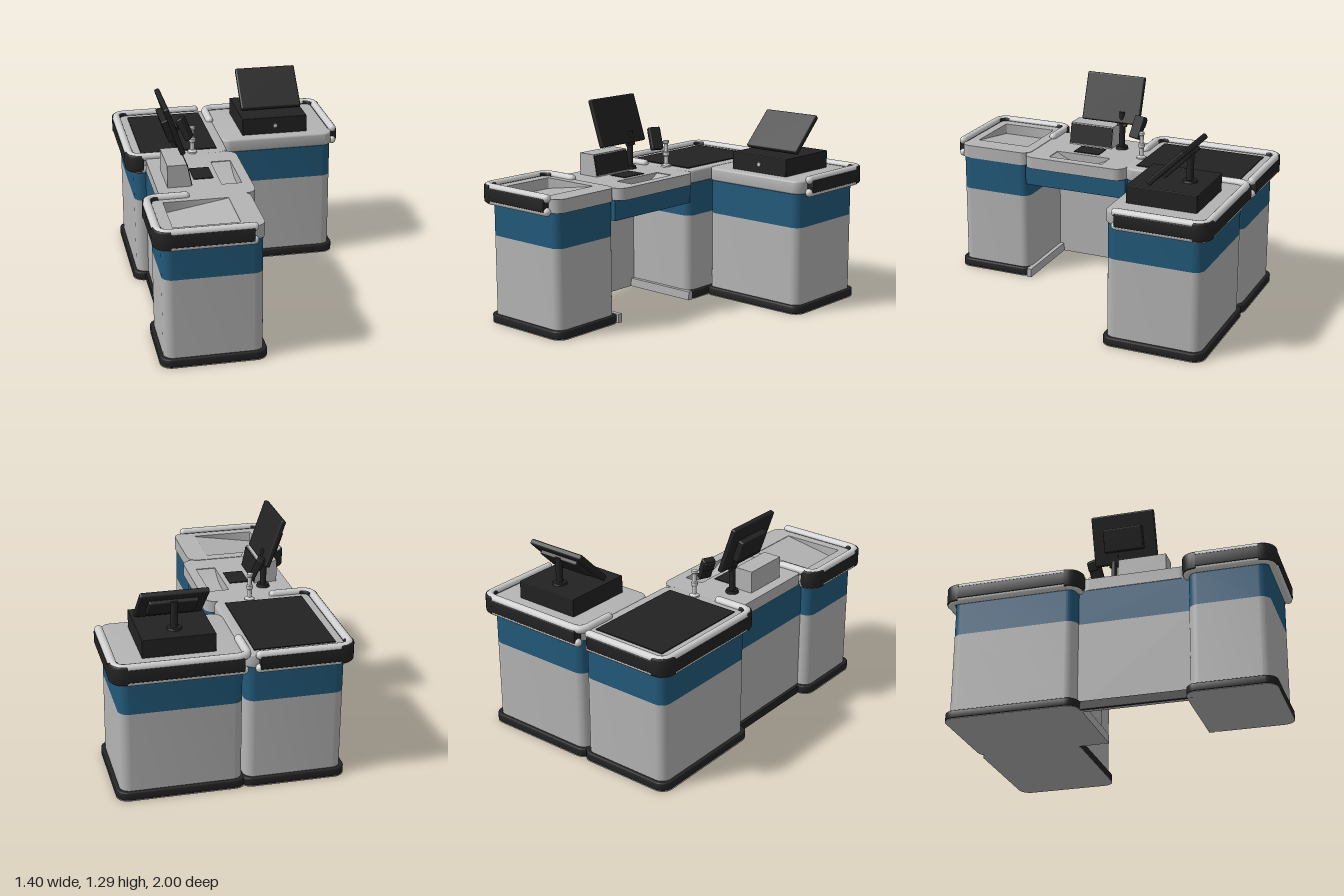
import * as THREE from 'three';
import { toCreasedNormals } from 'three/addons/utils/BufferGeometryUtils.js';
import { RoundedBoxGeometry } from 'three/addons/geometries/RoundedBoxGeometry.js';

export function createModel() {
  const model = new THREE.Group();
  const material = (name, color) => {
    const m = new THREE.MeshStandardMaterial({ color });
    m.name = name;
    return m;
  };
  const grey = material('light grey', 0xb4b4b4);
  const white = material('rail grey', 0xcfcfcf);
  const blue = material('blue', 0x22597a);
  const black = material('black', 0x222222);

  const add = (name, geometry, mat, x = 0, y = 0, z = 0, parent = model) => {
    const mesh = new THREE.Mesh(geometry, mat);
    mesh.name = name;
    mesh.position.set(x, y, z);
    parent.add(mesh);
    return mesh;
  };

  // Rectangle in plan, drawn with y = -z so it can be laid flat
  const plan = (x0, x1, z0, z1, r, Type = THREE.Shape) => {
    const s = new Type();
    s.absarc(x1 - r, -z0 - r, r, 0, Math.PI / 2);
    s.absarc(x0 + r, -z0 - r, r, Math.PI / 2, Math.PI);
    s.absarc(x0 + r, -z1 + r, r, Math.PI, Math.PI * 1.5);
    s.absarc(x1 - r, -z1 + r, r, Math.PI * 1.5, Math.PI * 2);
    s.closePath();
    return s;
  };
  const rise = (shape, y0, y1, bevel = 0) => {
    const g = new THREE.ExtrudeGeometry(shape, {
      depth: y1 - y0 - 2 * bevel, curveSegments: 8, bevelEnabled: bevel > 0,
      bevelSize: bevel, bevelThickness: bevel, bevelOffset: -bevel, bevelSegments: 3,
    });
    g.rotateX(-Math.PI / 2).translate(0, y0 + bevel, 0);
    return toCreasedNormals(g, 0.7);
  };
  const block = (name, mat, x0, x1, y0, y1, z0, z1) => add(name,
    new THREE.BoxGeometry(x1 - x0, y1 - y0, z1 - z0), mat,
    (x0 + x1) / 2, (y0 + y1) / 2, (z0 + z1) / 2);

  // Cabinets: plinth, lower body, coloured band and top slab
  const cabinet = (name, x0, x1, z0, z1, hole) => {
    const o = 0.022;
    add(name + 'Underside', rise(plan(x0 - o, x1 + o, z0 - o, z1 + o, 0.07), 0, 0.003), grey);
    add(name + 'Plinth', rise(plan(x0 - o, x1 + o, z0 - o, z1 + o, 0.07), 0.003, 0.053, 0.008), black);
    add(name + 'Body', rise(plan(x0, x1, z0, z1, 0.06), 0.05, 0.54), grey);
    add(name + 'Band', rise(plan(x0, x1, z0, z1, 0.06), 0.54, 0.75), blue);
    const top = plan(x0 - 0.008, x1 + 0.008, z0 - 0.008, z1 + 0.008, 0.065);
    if (hole) top.holes.push(hole);
    add(name + 'Top', rise(top, 0.75, 0.832, hole ? 0 : 0.012), grey);
  };
  cabinet('frontCabinet', -0.65, -0.075, 0.48, 0.95, plan(-0.58, -0.2, 0.54, 0.89, 0.004, THREE.Path));
  cabinet('rearCabinet', -0.65, -0.07, -0.95, -0.185);
  cabinet('sideCabinet', -0.06, 0.65, -0.95, -0.365);

  // Sloping floor of the bagging recess
  const ramp = new THREE.Shape([[-0.58, 0.75], [-0.2, 0.75], [-0.2, 0.829], [-0.58, 0.765]]
    .map(p => new THREE.Vector2(...p)));
  add('baggingRecessFloor', new THREE.ExtrudeGeometry(ramp, { depth: 0.35, bevelEnabled: false }), grey, 0, 0, 0.54);

  // Middle section: counter, panel and apron around the knee space
  const counter = plan(-0.585, -0.02, -0.19, 0.488, 0.07);
  counter.holes.push(plan(-0.2, -0.08, -0.03, 0.33, 0.004, THREE.Path));
  add('counterTop', rise(counter, 0.755, 0.829), grey);
  block('panelLower', grey, -0.58, -0.555, 0, 0.54, -0.19, 0.49);
  block('panelBand', blue, -0.58, -0.555, 0.54, 0.756, -0.19, 0.49);
  block('panelLining', grey, -0.556, -0.55, 0.03, 0.63, -0.19, 0.49);
  block('panelPlinth', black, -0.6, -0.578, 0, 0.05, -0.19, 0.49);
  block('kneeApron', blue, -0.1, -0.065, 0.63, 0.756, -0.19, 0.49);
  for (const [z0, z1] of [[-0.19, -0.16], [0.455, 0.485]])
    block('kneeKickPlate', grey, -0.56, -0.05, 0, 0.055, z0, z1);

  // Curved trough set in the counter
  const trough = new THREE.Shape();
  trough.moveTo(-0.33, 0.75);
  trough.lineTo(0.03, 0.75);
  trough.lineTo(0.03, 0.825);
  trough.quadraticCurveTo(-0.15, 0.705, -0.33, 0.825);
  trough.closePath();
  const troughGeo = new THREE.ExtrudeGeometry(trough, { depth: 0.12, curveSegments: 14, bevelEnabled: false });
  troughGeo.rotateY(Math.PI / 2);
  add('trough', toCreasedNormals(troughGeo, 0.5), grey, -0.2);

  // Bumpers: rails and band along a plan path with rounded corners
  const roundPath = (pts, r) => {
    const v = pts.map(p => new THREE.Vector2(...p));
    const out = [v[0]], corners = [];
    for (let i = 1; i < v.length - 1; i++) {
      const a = v[i].clone().add(v[i - 1].clone().sub(v[i]).setLength(r));
      const b = v[i].clone().add(v[i + 1].clone().sub(v[i]).setLength(r));
      const arc = new THREE.QuadraticBezierCurve(a, v[i], b).getPoints(8);
      corners.push(arc);
      out.push(...arc);
    }
    out.push(v[v.length - 1]);
    return { line: out, corners };
  };
  const stroke = (line, w) => {
    const side = s => line.map((p, i) => {
      const t = line[Math.min(i + 1, line.length - 1)].clone().sub(line[Math.max(i - 1, 0)]).normalize();
      return new THREE.Vector2(p.x - t.y * w * s, -(p.y + t.x * w * s));
    });
    return new THREE.Shape([...side(1), ...side(-1).reverse()]);
  };
  const rail = (name, line, y) => {
    const path = new THREE.CurvePath();
    for (let i = 1; i < line.length; i++) path.add(new THREE.LineCurve3(
      new THREE.Vector3(line[i - 1].x, y, line[i - 1].y), new THREE.Vector3(line[i].x, y, line[i].y)));
    add(name, new THREE.TubeGeometry(path, 120, 0.025, 12), white);
    for (const p of [line[0], line[line.length - 1]])
      add(name + 'End', new THREE.SphereGeometry(0.025, 12, 8), white, p.x, y, p.y);
  };
  const bumper = (name, topPts, bandPts) => {
    rail(name + 'TopRail', roundPath(topPts, 0.07).line, 0.836);
    const { line, corners } = roundPath(bandPts, 0.07);
    rail(name + 'LowerRail', line, 0.756);
    add(name + 'Band', rise(stroke(line, 0.028), 0.756, 0.834, 0.005), black);
    for (const c of corners) add(name + 'CornerGuard', rise(stroke(c, 0.028), 0.742, 0.852, 0.01), black);
  };
  for (const [name, inner, outer] of [['frontBumper', 0.475, 0.972], ['rearBumper', -0.175, -0.972]]) {
    const rest = [[-0.672, inner], [-0.672, outer], [-0.14, outer]];
    bumper(name, [[-0.44, inner], ...rest], [[-0.595, inner], ...rest]);
  }
  const sideRest = [[0.672, -0.972], [0.672, -0.44]];
  bumper('sideBumper', [[-0.078, -0.74], [-0.078, -0.972], ...sideRest], [[-0.05, -0.972], ...sideRest]);

  // Belt and scanner plate
  block('conveyorBelt', black, -0.6, -0.125, 0.828, 0.838, -0.9, -0.24);
  block('scannerPlate', black, -0.35, -0.23, 0.826, 0.834, 0.06, 0.23);

  // Operator monitor on its pole
  add('monitorFoot', new THREE.CylinderGeometry(0.036, 0.04, 0.018, 20), black, -0.42, 0.838, -0.02);
  add('monitorPole', new THREE.CylinderGeometry(0.019, 0.019, 0.24, 16), black, -0.42, 0.95, -0.02);
  const monitor = new THREE.Group();
  monitor.name = 'monitor';
  monitor.position.set(-0.46, 1.14, 0.055);
  monitor.rotation.z = 0.33;
  model.add(monitor);
  add('monitorPanel', new RoundedBoxGeometry(0.032, 0.305, 0.39, 2, 0.01), black, 0, 0, 0, monitor);
  add('monitorBack', new RoundedBoxGeometry(0.045, 0.14, 0.24, 2, 0.008), black, -0.03, -0.01, 0, monitor);
  add('monitorHinge', new THREE.BoxGeometry(0.025, 0.12, 0.06), black, -0.01, -0.11, -0.075, monitor);

  // Receipt printer with a sloping dark front
  const printer = new THREE.Shape([[-0.52, 0.826], [-0.378, 0.826], [-0.405, 0.965], [-0.52, 0.965]]
    .map(p => new THREE.Vector2(...p)));
  add('printer', new THREE.ExtrudeGeometry(printer, { depth: 0.29, bevelEnabled: false }), grey, 0, 0, 0.035);
  add('printerFront', new THREE.BoxGeometry(0.008, 0.125, 0.288), black, -0.39, 0.897, 0.18).rotation.z = 0.19;

  // Card reader on a small stand
  const profile = [[0, 0], [0.03, 0], [0.03, 0.012], [0.014, 0.022], [0.014, 0.07], [0.02, 0.075],
    [0.02, 0.095], [0.013, 0.1], [0.013, 0.15], [0.018, 0.155], [0.018, 0.17], [0, 0.172]];
  const standGeo = new THREE.LatheGeometry(profile.map(p => new THREE.Vector2(...p)), 16);
  add('readerStand', toCreasedNormals(standGeo, 0.7), white, -0.283, 0.828, -0.208);
  const arm = add('readerArm', new THREE.CylinderGeometry(0.009, 0.009, 0.07, 10), white, -0.305, 0.985, -0.185);
  arm.rotation.set(Math.PI / 2, 0, 0.7);
  const reader = new THREE.Group();
  reader.name = 'cardReader';
  reader.position.set(-0.335, 1.01, -0.162);
  reader.rotation.set(0, -0.42, 0.42, 'YXZ');
  model.add(reader);
  add('readerBody', new RoundedBoxGeometry(0.04, 0.145, 0.078, 2, 0.008), black, 0, 0, 0, reader);
  add('readerHead', new RoundedBoxGeometry(0.03, 0.06, 0.07, 2, 0.008), black, -0.015, 0.035, 0, reader);

  // Cash drawer with a tilted display
  add('cashDrawer', new RoundedBoxGeometry(0.42, 0.112, 0.43, 2, 0.004), black, 0.29, 0.884, -0.645);
  const lock = add('drawerLock', new THREE.CylinderGeometry(0.012, 0.012, 0.008, 16), white, 0.293, 0.885, -0.429);
  lock.rotation.x = Math.PI / 2;
  add('displayPole', new THREE.CylinderGeometry(0.021, 0.021, 0.17, 16), black, 0.293, 1.02, -0.74);
  add('displayFoot', new THREE.CylinderGeometry(0.04, 0.045, 0.012, 20), black, 0.293, 0.945, -0.74);
  const display = new THREE.Group();
  display.name = 'display';
  display.position.set(0.293, 1.062, -0.66);
  display.rotation.x = -0.79;
  model.add(display);
  add('displayPanel', new RoundedBoxGeometry(0.392, 0.295, 0.034, 2, 0.01), black, 0, 0, 0, display);
  add('displayBack', new RoundedBoxGeometry(0.28, 0.16, 0.04, 2, 0.008), black, 0, 0.01, -0.02, display);

  return model;
}
